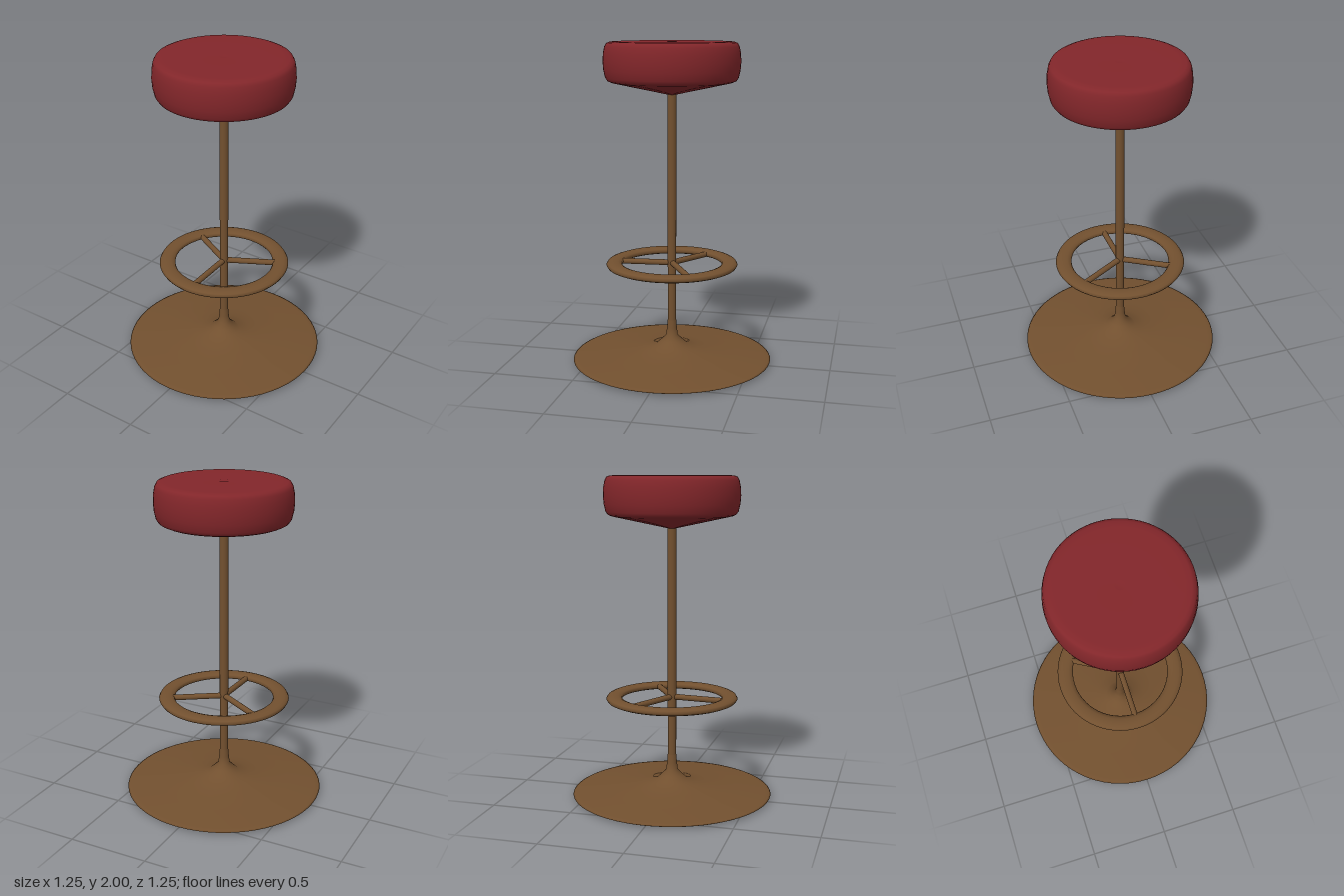
import * as THREE from 'three';

const SEGMENTS = 64;

// Revolve a list of [radius, height] points, ordered from bottom to top
function lathe(name, points, material) {
  const profile = points.map(([r, y]) => new THREE.Vector2(r, y));
  const mesh = new THREE.Mesh(new THREE.LatheGeometry(profile, SEGMENTS), material);
  mesh.name = name;
  return mesh;
}

// Straight round bar between two points
function bar(name, from, to, radius, material) {
  const dir = to.clone().sub(from);
  const mesh = new THREE.Mesh(new THREE.CylinderGeometry(radius, radius, dir.length(), 16), material);
  mesh.position.copy(from).add(to).multiplyScalar(0.5);
  mesh.quaternion.setFromUnitVectors(new THREE.Vector3(0, 1, 0), dir.normalize());
  mesh.name = name;
  return mesh;
}

export function createModel() {
  const bronze = new THREE.MeshStandardMaterial({ color: 0x72502f });
  bronze.name = 'bronze';
  const red = new THREE.MeshStandardMaterial({ color: 0x82262a });
  red.name = 'red upholstery';

  const stool = new THREE.Group();
  stool.name = 'barStool';

  // Flared disc base running up into the post
  stool.add(lathe('base', [
    [0, 0], [0.57, 0], [0.59, 0.003], [0.615, 0.012], [0.625, 0.017], [0.615, 0.022], [0.59, 0.027],
    [0.42, 0.044], [0.25, 0.061], [0.17, 0.08], [0.1, 0.098], [0.068, 0.128], [0.037, 0.16],
    [0.031, 0.21], [0.027, 0.26],
  ], bronze));
  stool.add(bar('post', new THREE.Vector3(0, 0.25, 0), new THREE.Vector3(0, 1.75, 0), 0.027, bronze));

  // Footrest: flattened ring on three spokes
  const footrest = new THREE.Group();
  footrest.name = 'footrest';
  footrest.add(lathe('footRing', [
    [0.36, 0.605], [0.383, 0.606], [0.402, 0.614], [0.41, 0.627], [0.402, 0.64], [0.383, 0.647],
    [0.36, 0.648], [0.337, 0.647], [0.318, 0.64], [0.31, 0.627], [0.318, 0.614], [0.337, 0.606], [0.36, 0.605],
  ], bronze));
  for (let i = 0; i < 3; i++) {
    const a = (i * Math.PI * 2) / 3;
    footrest.add(bar('spoke', new THREE.Vector3(0, 0.633, 0),
      new THREE.Vector3(Math.sin(a) * 0.35, 0.625, Math.cos(a) * 0.35), 0.018, bronze));
  }
  stool.add(footrest);

  // Padded round seat with a conical underside and a small centre button
  stool.add(lathe('seat', [
    [0, 1.68], [0.03, 1.683], [0.2, 1.72], [0.37, 1.757], [0.39, 1.766], [0.403, 1.785], [0.413, 1.83],
    [0.417, 1.88], [0.414, 1.93], [0.406, 1.97], [0.395, 1.99], [0.375, 1.998], [0.34, 2],
    [0.03, 2], [0.027, 1.998], [0, 1.998],
  ], red));

  return stool;
}
